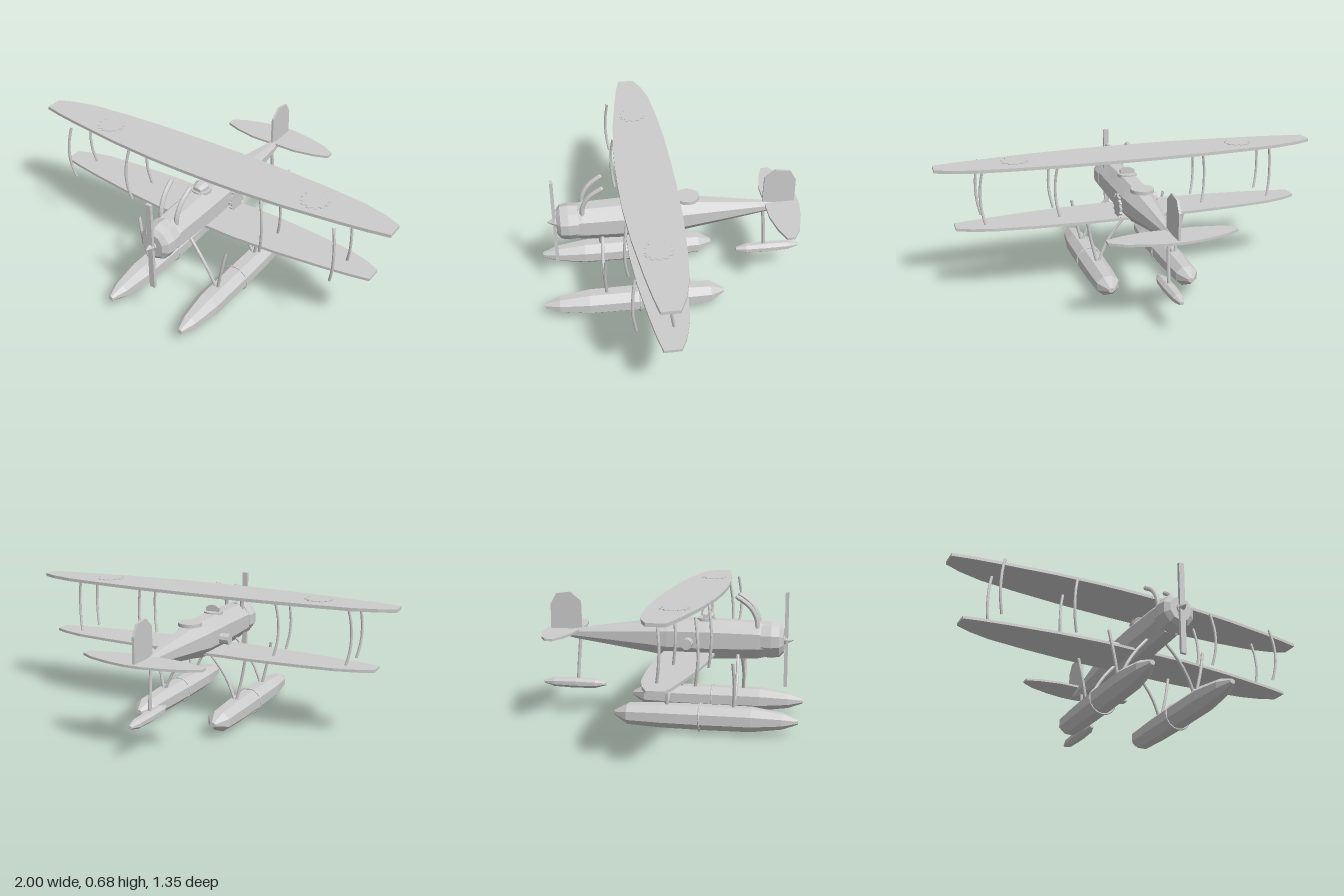
import * as THREE from 'three';

const grey = new THREE.MeshStandardMaterial({ color: 0xcccccc, flatShading: true });
grey.name = 'lightGrey';

function part(parent, name, geometry, x = 0, y = 0, z = 0) {
  const mesh = new THREE.Mesh(geometry, grey);
  mesh.name = name;
  mesh.position.set(x, y, z);
  parent.add(mesh);
}

// Faceted body through rings [z, centreY, halfWidth, halfHeight], listed nose to tail
function loft(rings, sides = 8) {
  const pos = [], index = [], k = 1 / Math.cos(Math.PI / sides);
  for (const [z, cy, rx, ry] of rings) {
    for (let i = 0; i < sides; i++) {
      const a = ((i + 0.5) / sides) * Math.PI * 2;
      pos.push(Math.cos(a) * rx * k, cy + Math.sin(a) * ry * k, z);
    }
  }
  for (let r = 0; r < rings.length - 1; r++) {
    for (let i = 0; i < sides; i++) {
      const j = (i + 1) % sides, f = r * sides, b = f + sides;
      index.push(f + i, b + i, f + j, f + j, b + i, b + j);
    }
  }
  const last = (rings.length - 1) * sides;
  for (let i = 1; i < sides - 1; i++) {
    index.push(0, i, i + 1, last, last + i + 1, last + i);
  }
  const g = new THREE.BufferGeometry();
  g.setAttribute('position', new THREE.Float32BufferAttribute(pos, 3));
  g.setIndex(index);
  g.computeVertexNormals();
  return g;
}

// Flat plate from a half outline [x, z], mirrored across x = 0; its top is at y = 0
function plate(half, thickness) {
  const mirrored = half.map(([x, z]) => [-x, z]).reverse();
  const pts = [...half, ...mirrored].map(([x, z]) => new THREE.Vector2(x, z));
  const g = new THREE.ExtrudeGeometry(new THREE.Shape(pts), { depth: thickness, bevelEnabled: false });
  return g.rotateX(Math.PI / 2);
}

function tube(points, radius, segments = 6) {
  const curve = new THREE.CatmullRomCurve3(points.map((p) => new THREE.Vector3(...p)));
  return new THREE.TubeGeometry(curve, segments, radius, 8);
}

// Toothed disc in the xy plane
function gear(radius, depth, teeth = 12) {
  const pts = [];
  for (let i = 0; i < teeth; i++) {
    [[-0.3, 0.84], [-0.22, 1], [0.22, 1], [0.3, 0.84]].forEach(([o, r]) => {
      const a = ((i + o) / teeth) * Math.PI * 2;
      pts.push(new THREE.Vector2(Math.cos(a) * r * radius, Math.sin(a) * r * radius));
    });
  }
  return new THREE.ExtrudeGeometry(new THREE.Shape(pts), { depth, bevelEnabled: false });
}

export function createModel() {
  const plane = new THREE.Group();
  plane.name = 'floatBiplane';

  // Fuselage and engine cowl
  part(plane, 'fuselage', loft([
    [0.49, 0.437, 0.078, 0.083], [0.46, 0.437, 0.08, 0.09], [0.2, 0.437, 0.085, 0.1],
    [0, 0.437, 0.083, 0.095], [-0.1, 0.439, 0.073, 0.08], [-0.5, 0.439, 0.02, 0.026], [-0.575, 0.44, 0.009, 0.01],
  ]));
  part(plane, 'cowl', loft([
    [0.585, 0.44, 0.055, 0.06], [0.565, 0.44, 0.08, 0.083], [0.525, 0.44, 0.086, 0.09], [0.475, 0.44, 0.082, 0.086],
  ], 10));

  // Propeller
  part(plane, 'propellerBlade', new THREE.BoxGeometry(0.028, 0.48, 0.016), 0, 0.44, 0.596);
  part(plane, 'spinner', new THREE.ConeGeometry(0.022, 0.045, 8).rotateX(Math.PI / 2), 0, 0.44, 0.613);
  part(plane, 'propellerHub', new THREE.CylinderGeometry(0.024, 0.024, 0.02, 8).rotateX(Math.PI / 2), 0, 0.44, 0.585);

  // Wings
  const upper = [[0.25, 0.27], [0.5, 0.252], [0.75, 0.222], [0.9, 0.2], [1, 0.18],
    [1, 0.095], [0.92, 0.06], [0.8, 0.03], [0.6, 0.01], [0.35, -0.005]];
  const lower = upper.map(([x, z]) => [x * 0.915, 0.13 + (z - 0.13) * 0.95 - 0.02]);
  part(plane, 'upperWing', plate([[0.08, 0.274], ...upper, [0.08, -0.01]], 0.016), 0, 0.674, 0);
  part(plane, 'lowerWing', plate(lower, 0.014), 0, 0.372, 0);

  // Cockpits
  part(plane, 'rearCockpit', new THREE.CylinderGeometry(0.06, 0.06, 0.018, 24), 0, 0.531, -0.077);
  part(plane, 'frontCockpit', new THREE.CylinderGeometry(0.05, 0.05, 0.016, 20), 0, 0.535, 0.19);
  part(plane, 'windshield', loft([
    [0.228, 0.55, 0.022, 0.012], [0.205, 0.552, 0.034, 0.02], [0.178, 0.554, 0.038, 0.022],
  ]));

  // Side gear on the left, round port on the right
  part(plane, 'sideGear', gear(0.063, 0.012).rotateY(Math.PI / 2), 0.093, 0.425, 0.025);
  part(plane, 'gearAxle', new THREE.CylinderGeometry(0.018, 0.018, 0.04, 8).rotateZ(Math.PI / 2), 0.082, 0.425, 0.025);
  part(plane, 'sidePort', new THREE.CylinderGeometry(0.028, 0.028, 0.07, 10).rotateZ(Math.PI / 2), -0.1, 0.423, 0.11);

  const floatRings = [
    [0.675, 0.075, 0.012, 0.012], [0.6, 0.076, 0.042, 0.038], [0.45, 0.077, 0.063, 0.058],
    [0.2, 0.077, 0.065, 0.06], [0, 0.077, 0.063, 0.058], [-0.17, 0.077, 0.057, 0.05], [-0.24, 0.079, 0.014, 0.012],
  ];

  for (const s of [-1, 1]) {
    const side = s < 0 ? 'right' : 'left';

    // Bowed struts between the wings
    for (const x of [0.385, 0.765]) {
      for (const z of [0.262, 0.092]) {
        part(plane, side + 'WingStrut', tube([
          [s * x, 0.366, z], [s * (x + 0.015), 0.44, z + 0.011], [s * (x + 0.019), 0.515, z + 0.015],
          [s * (x + 0.014), 0.59, z + 0.01], [s * x, 0.664, z],
        ], 0.007, 8));
      }
    }

    // Curved exhaust pipes with closed ends
    part(plane, side + 'Exhaust', tube([
      [s * 0.045, 0.5, 0.455], [s * 0.046, 0.55, 0.45], [s * 0.05, 0.605, 0.42],
      [s * 0.053, 0.632, 0.39], [s * 0.055, 0.655, 0.355],
    ], 0.012, 10));
    part(plane, side + 'ExhaustEnd', new THREE.SphereGeometry(0.012, 8, 4), s * 0.055, 0.655, 0.355);

    // Floats with a band and V struts
    part(plane, side + 'Float', loft(floatRings), s * 0.21, 0, 0);
    part(plane, side + 'FloatBand', new THREE.TorusGeometry(0.068, 0.005, 6, 16), s * 0.21, 0.075, 0.195);
    for (const z of [0.36, 0.027]) {
      part(plane, side + 'OuterFloatStrut', tube([
        [s * 0.262, 0.365, z], [s * 0.24, 0.25, z + 0.007], [s * 0.213, 0.125, z],
      ], 0.008));
      part(plane, side + 'InnerFloatStrut', tube([
        [s * 0.055, 0.365, z], [s * 0.11, 0.3, z + 0.006], [s * 0.165, 0.215, z + 0.007], [s * 0.205, 0.125, z],
      ], 0.008));
    }

    // Thin toothed badge on the upper wing
    part(plane, side + 'WingBadge', gear(0.07, 0.004).rotateX(-Math.PI / 2), s * 0.6, 0.673, 0.14);
  }

  // Tail
  part(plane, 'tailplane', plate([
    [0.13, -0.477], [0.24, -0.498], [0.315, -0.525], [0.315, -0.565], [0.25, -0.603], [0.14, -0.635], [0.04, -0.652],
  ], 0.012), 0, 0.462, 0);
  const fin = new THREE.Shape([
    [0.465, 0.445], [0.47, 0.61], [0.525, 0.655], [0.6, 0.645], [0.632, 0.59], [0.632, 0.455],
  ].map(([z, y]) => new THREE.Vector2(z, y)));
  part(plane, 'fin', new THREE.ExtrudeGeometry(fin, { depth: 0.012, bevelEnabled: false })
    .rotateY(Math.PI / 2), -0.006, 0, 0);

  // Tail float and its strut
  part(plane, 'tailFloat', loft([
    [-0.34, 0.172, 0.01, 0.008], [-0.395, 0.172, 0.027, 0.022], [-0.5, 0.172, 0.031, 0.026],
    [-0.62, 0.172, 0.026, 0.022], [-0.675, 0.172, 0.01, 0.008],
  ]));
  part(plane, 'tailFloatStrut', tube([[0, 0.425, -0.472], [0, 0.31, -0.482], [0, 0.185, -0.49]], 0.009));

  return plane;
}
